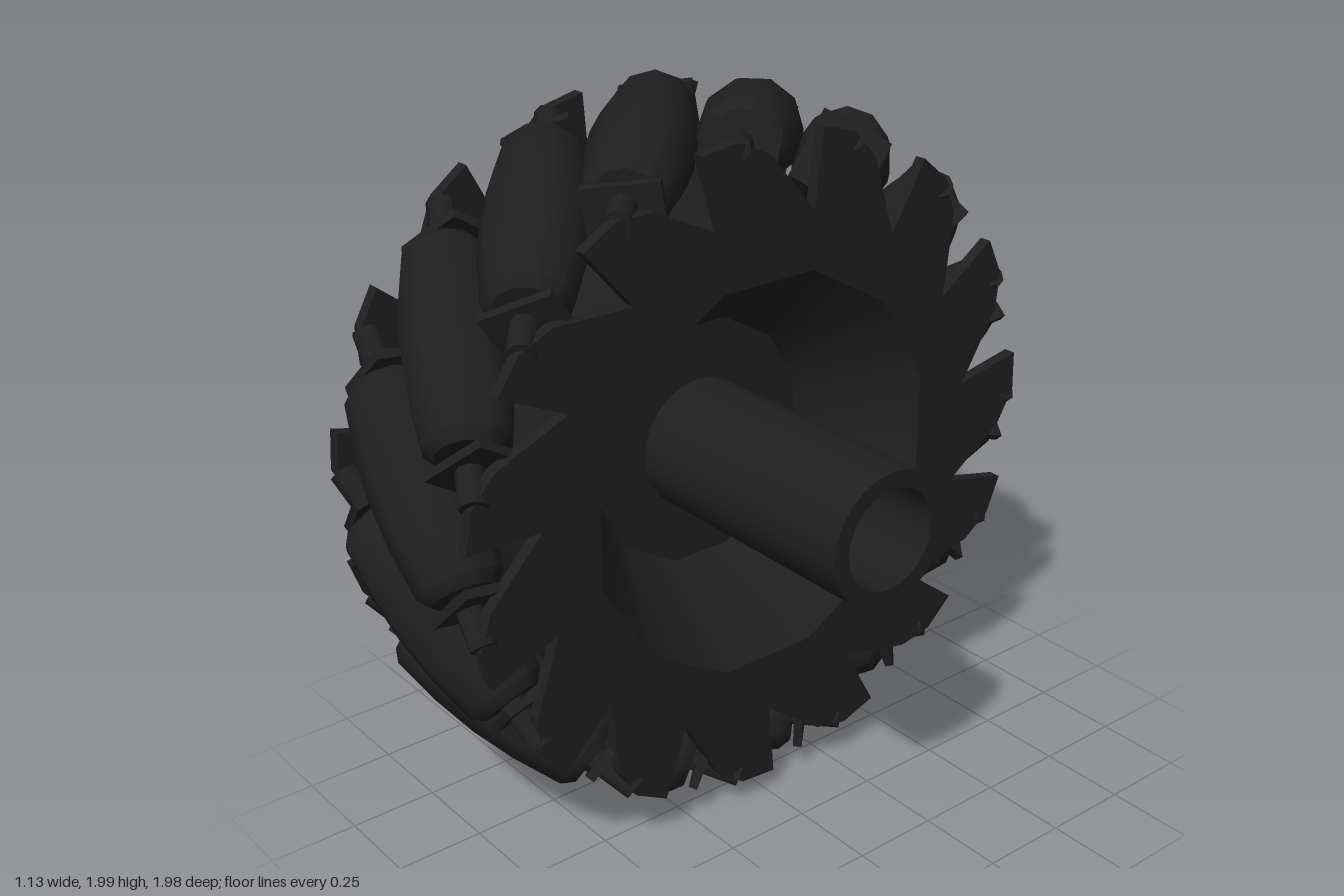
import * as THREE from 'three';
import { toCreasedNormals } from 'three/addons/utils/BufferGeometryUtils.js';

const COUNT = 15;                    // rollers around the wheel
const MID_X = -0.225;                // wheel centre plane
const ROLLER_R = 0.857;              // distance of roller axes from the axle
const PHASE = 10.3;                  // angle of the first roller, degrees
const rad = THREE.MathUtils.degToRad;
const mat = new THREE.MeshStandardMaterial({ color: 0x1f1f1f, side: THREE.DoubleSide });

function add(parent, name, geo) {
  const mesh = new THREE.Mesh(geo, mat);
  mesh.name = name;
  parent.add(mesh);
  return mesh;
}

// Lathe around the x axis from [x, radius] pairs
function latheX(profile, sides, turn = 0, crease = 0.6) {
  const pts = profile.map(([x, r]) => new THREE.Vector2(r, x));
  const geo = new THREE.LatheGeometry(pts, sides).rotateY(turn).rotateZ(-Math.PI / 2);
  return toCreasedNormals(geo, crease);
}

// Side plate with pointed, leaning saw teeth; dir mirrors the lean for the far side
function sidePlate(dir, hole) {
  const point = (r, deg) => {
    const a = rad(PHASE + dir * deg);
    return new THREE.Vector2(-r * Math.sin(a), r * Math.cos(a));
  };
  const outline = [];
  for (let i = 0; i < COUNT; i++) {
    const a = 2 + i * 360 / COUNT;
    outline.push(point(0.72, a), point(0.88, a + 12), point(0.93, a + 18), point(0.935, a + 25));
  }
  const shape = new THREE.Shape(outline);
  const ring = [];
  for (let i = 0; i < 12; i++) {
    const a = rad(15 + i * 30);
    ring.push(new THREE.Vector2(hole * Math.cos(a), hole * Math.sin(a)));
  }
  shape.holes.push(new THREE.Path(ring));
  return new THREE.ExtrudeGeometry(shape, { depth: 0.035, bevelEnabled: false }).rotateY(Math.PI / 2);
}

export function createModel() {
  const model = new THREE.Group();
  model.name = 'omnidirectionalWheel';
  const wheel = new THREE.Group();
  wheel.name = 'wheel';
  wheel.position.y = 0.997;
  model.add(wheel);

  // Toothed plates on both sides
  add(wheel, 'outerSidePlate', sidePlate(1, 0.565)).position.x = 0.065;
  add(wheel, 'innerSidePlate', sidePlate(-1, 0.575)).position.x = -0.565;

  // Dished twelve-sided hub body with a thin central web
  add(wheel, 'hubDish', latheX([
    [-0.27, 0.15], [-0.27, 0.36], [-0.565, 0.575], [-0.565, 0.69], [-0.46, 0.69],
    [-0.23, 0.56], [-0.17, 0.5], [0.0, 0.68], [0.1, 0.68], [0.1, 0.565],
    [-0.2, 0.355], [-0.2, 0.15],
  ], 12, rad(15), 0.6));

  // Hollow axle
  add(wheel, 'axleTube', latheX([
    [-0.37, 0.14], [-0.37, 0.187], [0.565, 0.187], [0.565, 0.14], [-0.37, 0.14],
  ], 24));
  add(wheel, 'axleCore', latheX([[-0.28, 0], [-0.28, 0.15], [0.3, 0.15], [0.3, 0]], 24));
  for (const x of [-0.28, 0.3]) {
    add(wheel, 'axleScrew', new THREE.SphereGeometry(0.085, 12, 8)).position.x = x;
  }

  // Barrel roller profile along its own axis
  const barrel = [[0, -0.3], [0.085, -0.3], [0.113, -0.27], [0.133, -0.13], [0.14, 0],
    [0.133, 0.13], [0.113, 0.27], [0.085, 0.3], [0, 0.3]];
  const rollerGeo = toCreasedNormals(
    new THREE.LatheGeometry(barrel.map(p => new THREE.Vector2(...p)), 10), 0.8);
  const boltGeo = toCreasedNormals(new THREE.CylinderGeometry(0.037, 0.037, 0.88, 8), 1);
  const tabGeo = new THREE.BoxGeometry(0.2, 0.025, 0.2);

  // Each roller lies at 45 degrees on the rim, with bolt and mounting tabs
  const tilt = new THREE.Quaternion().setFromUnitVectors(
    new THREE.Vector3(0, 1, 0), new THREE.Vector3(1, 0, 1).normalize());
  // Tab frame: thickness along the roller axis, height along the wheel radius
  const tabTurn = new THREE.Quaternion().setFromRotationMatrix(new THREE.Matrix4().makeBasis(
    new THREE.Vector3(1, 0, -1).normalize(), new THREE.Vector3(1, 0, 1).normalize(),
    new THREE.Vector3(0, -1, 0)));
  for (let i = 0; i < COUNT; i++) {
    const station = new THREE.Group();
    station.name = 'rollerStation';
    station.rotation.x = rad(PHASE + i * 360 / COUNT);
    wheel.add(station);
    const unit = new THREE.Group();
    unit.name = 'rollerAssembly';
    unit.position.set(MID_X, ROLLER_R, 0);
    unit.quaternion.copy(tilt);
    station.add(unit);
    add(unit, 'roller', rollerGeo);
    add(unit, 'bolt', boltGeo);
    for (const s of [-1, 1]) {
      // tabs reach from the bolt down into the toothed plate
      const tab = add(station, 'mountingTab', tabGeo);
      tab.quaternion.copy(tabTurn);
      tab.position.set(MID_X + s * 0.23, ROLLER_R - 0.045, s * 0.23);
    }
  }
  return model;
}
